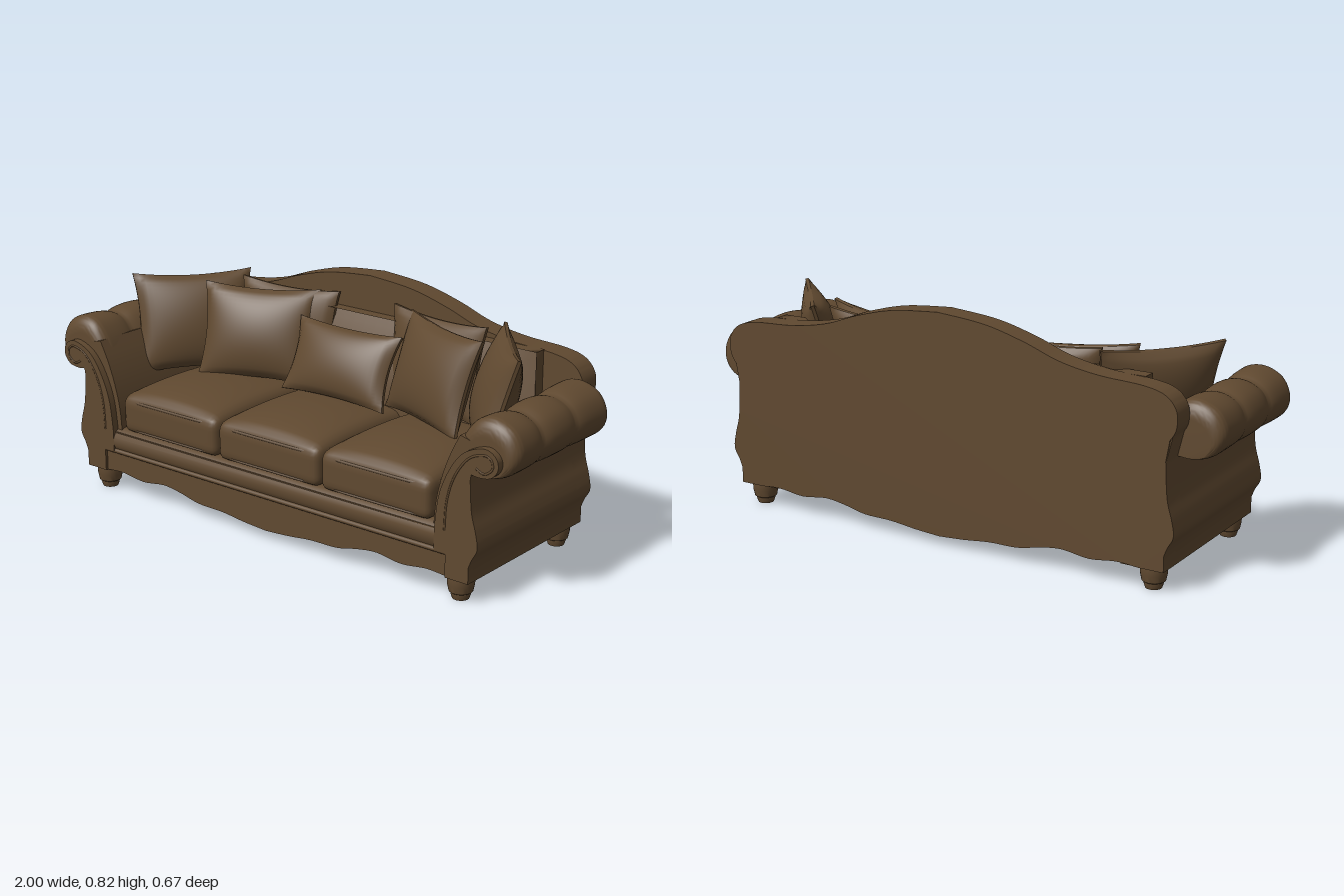
import * as THREE from 'three';
import { mergeVertices, toCreasedNormals } from 'three/addons/utils/BufferGeometryUtils.js';

const V2 = (p) => new THREE.Vector2(p[0], p[1]);
const smooth = (pts, n) => new THREE.SplineCurve(pts.map(V2)).getPoints(n);
const mirrorX = (pts) => pts.map((p) => new THREE.Vector2(-p.x, p.y));

export function createModel() {
  const sofa = new THREE.Group();
  sofa.name = 'sofa';
  const fabric = new THREE.MeshStandardMaterial({ color: 0x604930 });
  fabric.name = 'brown upholstery';

  const add = (name, geometry) => {
    const mesh = new THREE.Mesh(geometry, fabric);
    mesh.name = name;
    sofa.add(mesh);
    return mesh;
  };
  // Flat outline pulled from z0 to z1, smooth along its curves
  const slab = (name, pts, z0, z1) => {
    const g = new THREE.ExtrudeGeometry(new THREE.Shape(pts), { depth: z1 - z0, bevelEnabled: false });
    g.translate(0, 0, z0);
    return add(name, toCreasedNormals(g, 0.6));
  };
  // Closed skin through equal-length rings of points
  const loft = (rings) => {
    const n = rings[0].length, idx = [];
    for (let i = 0; i < rings.length - 1; i++) for (let j = 0; j < n; j++) {
      const a = i * n + j, b = i * n + (j + 1) % n;
      idx.push(a, b, a + n, b, b + n, a + n);
    }
    const g = new THREE.BufferGeometry().setFromPoints(rings.flat());
    g.setIndex(idx);
    return toCreasedNormals(g, 0.9);
  };

  // Shared outlines, right half: scalloped hem from centre out, and the ogee side
  const hem = smooth([[0, 0.035], [0.1, 0.042], [0.2, 0.053], [0.31, 0.056], [0.4, 0.075],
    [0.48, 0.084], [0.58, 0.072], [0.68, 0.083], [0.76, 0.078]], 40);
  const side = [V2([0.85, 0.078]), ...smooth([[0.85, 0.135], [0.862, 0.165], [0.882, 0.205],
    [0.874, 0.26], [0.856, 0.33], [0.848, 0.45]], 24)];
  const symmetric = (half) => [...half, ...mirrorX(half).reverse().slice(0, -1)];

  // Base block with scalloped bottom and bowed sides
  const baseSide = side.filter((p) => p.y < 0.235);
  slab('base', symmetric([...hem, ...baseSide, V2([0.87, 0.235]), V2([0, 0.235])].slice(0, -1)), -0.33, 0.325);

  // Camel-back panel, reaching from hem to crest
  const crest = smooth([[0.86, 0.52], [0.882, 0.56], [0.88, 0.62], [0.84, 0.665], [0.76, 0.685], [0.6, 0.695],
    [0.46, 0.72], [0.33, 0.765], [0.18, 0.803], [0, 0.82]], 60);
  slab('backPanel', symmetric([...hem, ...side, ...crest.slice(0, -1), V2([0, 0.82])]), -0.335, -0.25);

  // Sloping inner back padding
  const pad = new THREE.BoxGeometry(1.46, 0.46, 0.1, 30, 12, 2);
  const pp = pad.attributes.position;
  for (let i = 0; i < pp.count; i++) {
    const u = pp.getX(i) / 0.73, v = pp.getY(i) / 0.23;
    if (pp.getZ(i) > 0) pp.setZ(i, -0.04 + 0.1 * (1 - v) / 2 + 0.045 * (1 - u * u) * (1 - v * v));
  }
  pad.computeVertexNormals();
  pad.translate(0, 0.46, -0.205);
  add('innerBack', pad);

  // Front rail and its moulding
  const railProfile = [[0.2, 0.17], [0.326, 0.17], [0.334, 0.185], [0.334, 0.215], [0.322, 0.236], [0.295, 0.246], [0.2, 0.246]];
  const rail = new THREE.ExtrudeGeometry(new THREE.Shape(railProfile.map(V2)), { depth: 1.5, bevelEnabled: false });
  rail.rotateY(-Math.PI / 2);
  rail.translate(0.75, 0, 0);
  add('frontRail', toCreasedNormals(rail, 0.8));
  const bead = new THREE.CylinderGeometry(0.009, 0.009, 1.52, 10);
  bead.rotateZ(Math.PI / 2);
  bead.translate(0, 0.162, 0.326);
  add('railMoulding', bead);

  // Rolled arms
  const rollOutline = smooth([[0.855, 0.445], [0.9, 0.441], [0.955, 0.452], [0.992, 0.49], [1.0, 0.54], [0.977, 0.592],
    [0.935, 0.621], [0.885, 0.63], [0.835, 0.615], [0.795, 0.57], [0.765, 0.51], [0.74, 0.445]], 40);
  const innerSide = smooth([[0.79, 0.56], [0.755, 0.49], [0.725, 0.41], [0.703, 0.32], [0.695, 0.23]], 16);
  const panelTop = smooth([[0.852, 0.45], [0.885, 0.447], [0.925, 0.455], [0.95, 0.485], [0.945, 0.522],
    [0.91, 0.545], [0.86, 0.536], [0.81, 0.505], [0.765, 0.44], [0.73, 0.35], [0.715, 0.235]], 44);
  const scroll = smooth([[0.87, 0.475], [0.9, 0.463], [0.93, 0.485], [0.925, 0.515], [0.895, 0.524],
    [0.84, 0.5], [0.79, 0.43], [0.762, 0.34], [0.755, 0.24]], 30);

  // Roll swelling: three tufts along the arm with rounded ends
  const swell = (z) => {
    const e = Math.min(z + 0.25, 0.31 - z) / 0.045;
    const end = e < 1 ? 0.68 + 0.32 * Math.sqrt(Math.max(0, 1 - (1 - e) ** 2)) : 1;
    const dip = (c, d) => d * Math.exp(-Math.abs(z - c) / 0.035);
    return end * (1 - dip(0.135, 0.12) - dip(-0.05, 0.09));
  };

  for (const s of [1, -1]) {
    const prefix = s > 0 ? 'left' : 'right';
    const flip = (pts) => (s > 0 ? pts : mirrorX(pts));

    slab(prefix + 'ArmBody', flip([...side, V2([0.87, 0.54]), ...innerSide, V2([0.695, 0.078])]), -0.33, 0.31);
    slab(prefix + 'ArmFront', flip([...side.slice(0, -1), ...panelTop, V2([0.715, 0.162]), V2([0.76, 0.162]), V2([0.76, 0.078])]), 0.3, 0.335);

    const rings = [];
    const ring = (z, k) => rings.push(rollOutline.map((p) =>
      new THREE.Vector3(s * (0.87 + (p.x - 0.87) * k), 0.445 + (p.y - 0.445) * k, z)));
    const steps = 64;
    ring(-0.25, 0.001);
    for (let i = 0; i <= steps; i++) {
      const z = 0.03 - 0.28 * Math.cos(Math.PI * i / steps);
      ring(z, swell(z));
    }
    ring(0.31, 0.001);
    if (s < 0) rings.forEach((r) => r.reverse());
    add(prefix + 'ArmRoll', loft(rings));

    // Cord tracing the scroll on the arm front
    const cord = new THREE.CatmullRomCurve3(flip(scroll).map((p) => new THREE.Vector3(p.x, p.y, 0.334)));
    add(prefix + 'ArmScrollCord', new THREE.TubeGeometry(cord, 50, 0.004, 6));
  }

  // Turned feet
  const footProfile = [[0, 0], [0.028, 0], [0.034, 0.018], [0.034, 0.022], [0.04, 0.026], [0.045, 0.05], [0.046, 0.07], [0.044, 0.095], [0, 0.095]];
  for (const x of [-0.79, 0.79]) for (const z of [-0.28, 0.285]) {
    const foot = toCreasedNormals(new THREE.LatheGeometry(footProfile.map(V2), 24), 0.6);
    add('foot', foot).position.set(x, 0, z);
  }

  // Seat cushions: rounded box with a crowned top and piping
  const cushion = (w, h, d, r) => {
    const g = new THREE.BoxGeometry(w, h, d, 26, 10, 26);
    const p = g.attributes.position, v = new THREE.Vector3(), q = new THREE.Vector3();
    const lim = new THREE.Vector3(w / 2 - r, h / 2 - r, d / 2 - r), neg = lim.clone().negate();
    for (let i = 0; i < p.count; i++) {
      v.fromBufferAttribute(p, i);
      q.copy(v).clamp(neg, lim);
      v.sub(q).normalize().multiplyScalar(r).add(q);
      const u = 2 * v.x / w, t = 2 * v.z / d;
      if (v.y > 0) v.y += 0.05 * Math.sqrt(Math.max(0, (1 - u * u) * (1 - t * t))) * v.y * 2 / h;
      p.setXYZ(i, v.x, v.y, v.z);
    }
    g.deleteAttribute('normal');
    g.deleteAttribute('uv');
    const m = mergeVertices(g, 1e-5);
    m.computeVertexNormals();
    return m;
  };
  const loop = [];
  for (let i = 0; i < 48; i++) {
    const a = i / 48 * Math.PI * 2, c = Math.cos(a), n = Math.sin(a);
    loop.push(new THREE.Vector3(0.222 * Math.sign(c) * Math.abs(c) ** 0.25, 0, 0.254 * Math.sign(n) * Math.abs(n) ** 0.25));
  }
  const piping = new THREE.TubeGeometry(new THREE.CatmullRomCurve3(loop, true), 120, 0.006, 6, true);
  for (const x of [-0.457, 0, 0.457]) {
    add('seatCushion', cushion(0.452, 0.135, 0.52, 0.03)).position.set(x, 0.308, 0.06);
    for (const y of [0.255, 0.362]) add('cushionPiping', piping).position.set(x, y, 0.06);
  }

  // Throw pillows: pinched edges, pointed corners, plump middle
  const pillow = (name, w, h, t, pos, ry, rx) => {
    const g = new THREE.BoxGeometry(2, 2, 2, 22, 22, 1);
    const p = g.attributes.position;
    for (let i = 0; i < p.count; i++) {
      const u = p.getX(i), v = p.getY(i);
      const puff = 0.006 + t / 2 * Math.pow(Math.max(0, (1 - u * u) * (1 - v * v)), 0.55);
      p.setXYZ(i, w / 2 * u * (1 - 0.09 * (1 - v * v)), h / 2 * v * (1 - 0.09 * (1 - u * u)), Math.sign(p.getZ(i)) * puff);
    }
    g.computeVertexNormals();
    const mesh = add(name, g);
    mesh.position.set(...pos);
    mesh.rotation.set(rx, ry, 0, 'YXZ');
  };
  pillow('centrePillow', 0.45, 0.27, 0.11, [0, 0.535, -0.09], 0, -0.42);
  for (const s of [1, -1]) {
    pillow('innerPillow', 0.44, 0.35, 0.13, [s * 0.39, 0.57, -0.1], -s * 0.38, -0.3);
    pillow('outerPillow', 0.44, 0.37, 0.13, [s * 0.67, 0.575, -0.06], -s * 0.88, -0.28);
    pillow('backPillow', 0.42, 0.34, 0.09, [s * 0.33, 0.575, -0.19], -s * 0.1, -0.15);
  }
  return sofa;
}
